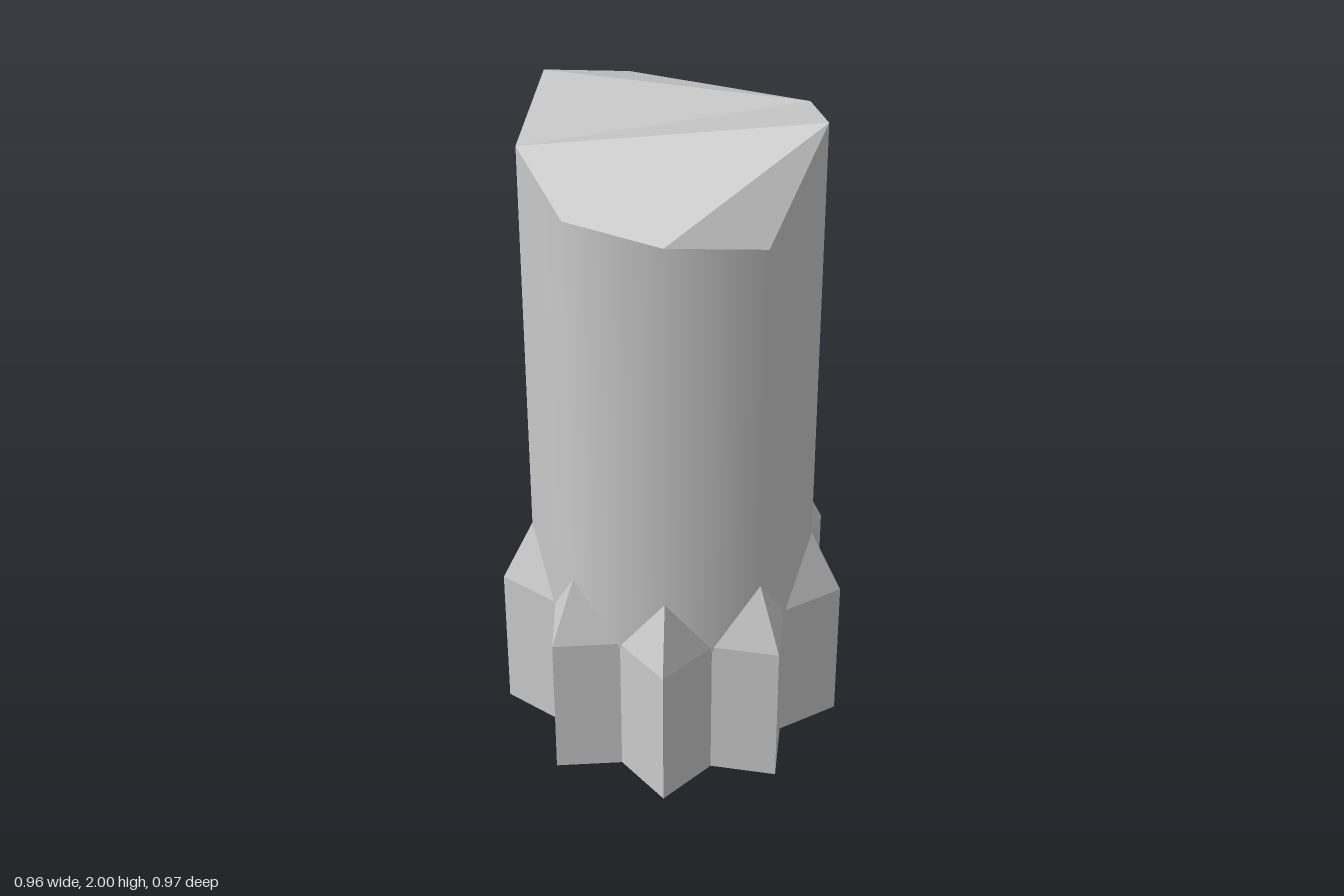
import * as THREE from 'three';

const SIDES = 9, CX = -0.015;          // the star's centre sits slightly off x = 0
const TIP_R = 0.495, VALLEY_R = 0.378, COLUMN_R = 0.405;
const BASE_TOP = 0.465, SPIKE_TOP = 0.66;
// height of the broken rim at each column corner, starting at +x and turning towards +z
const RIM = [1.77, 1.825, 1.835, 1.905, 1.977, 1.88, 1.81, 1.905, 2.0];

const polar = (r, step, y) => {
  const a = (step / SIDES) * Math.PI * 2;
  return [CX + r * Math.cos(a), y, r * Math.sin(a)];
};

function meshFrom(name, triangles, normals) {
  const geometry = new THREE.BufferGeometry();
  geometry.setAttribute('position', new THREE.Float32BufferAttribute(triangles.flat(2), 3));
  if (normals) geometry.setAttribute('normal', new THREE.Float32BufferAttribute(normals.flat(2), 3));
  else geometry.computeVertexNormals();
  const mesh = new THREE.Mesh(geometry, new THREE.MeshStandardMaterial({ color: 0xcccccc }));
  mesh.name = name;
  return mesh;
}

// Star-shaped foot: upright walls and a flat underside
function starBase() {
  const tris = [];
  const corner = (k, y) => polar(k % 2 ? VALLEY_R : TIP_R, k / 2, y);
  for (let k = 0; k < SIDES * 2; k++) {
    const a = corner(k, 0), b = corner(k + 1, 0);
    const c = corner(k, BASE_TOP), d = corner(k + 1, BASE_TOP);
    tris.push([a, c, b], [b, c, d], [a, b, [CX, 0, 0]]);
  }
  return meshFrom('starBase', tris);
}

// Two sloping facets from each star tip up to a column corner
function spikes() {
  const tris = [];
  for (let i = 0; i < SIDES; i++) {
    const tip = polar(TIP_R, i, BASE_TOP), apex = polar(COLUMN_R, i, SPIKE_TOP);
    tris.push([tip, apex, polar(VALLEY_R, i + 0.5, BASE_TOP)]);
    tris.push([polar(VALLEY_R, i - 0.5, BASE_TOP), apex, tip]);
  }
  return meshFrom('spikes', tris);
}

// Nine-sided shaft with smooth radial normals and an uneven rim
function column() {
  const tris = [], normals = [];
  for (let i = 0; i < SIDES; i++) {
    const j = i + 1;
    const a = polar(COLUMN_R, i, 0.45), b = polar(COLUMN_R, j, 0.45);
    const c = polar(COLUMN_R, i, RIM[i]), d = polar(COLUMN_R, j, RIM[j % SIDES]);
    tris.push([a, c, b], [b, c, d]);
    const radial = (p) => [(p[0] - CX) / COLUMN_R, 0, p[2] / COLUMN_R];
    normals.push([a, c, b].map(radial), [b, c, d].map(radial));
  }
  return meshFrom('column', tris, normals);
}

// Broken top: front slope, sunken middle and back slope
function brokenTop() {
  const faces = [[8, 3, 2], [8, 2, 1], [8, 1, 0], [8, 7, 3], [7, 4, 3], [7, 6, 5], [7, 5, 4]];
  return meshFrom('brokenTop', faces.map((f) => f.map((i) => polar(COLUMN_R, i, RIM[i]))));
}

export function createModel() {
  const model = new THREE.Group();
  model.name = 'brokenColumn';
  model.add(starBase(), spikes(), column(), brokenTop());
  return model;
}
